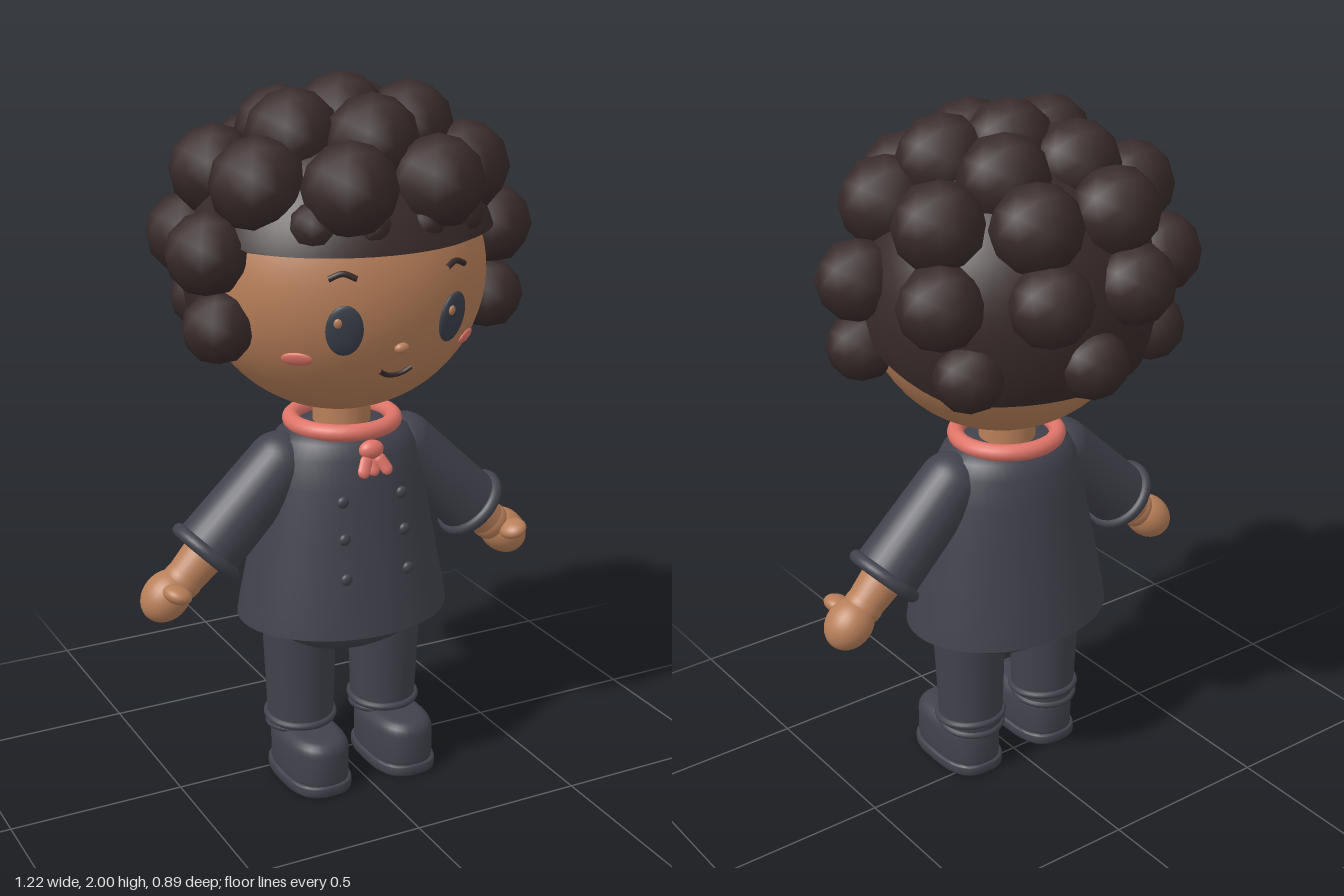
import * as THREE from 'three';
import { toCreasedNormals } from 'three/addons/utils/BufferGeometryUtils.js';

const flat = (name, color) => {
  const m = new THREE.MeshStandardMaterial({ color });
  m.name = name;
  return m;
};
const cloth = flat('charcoal cloth', 0x41424c);
const hairMat = flat('dark brown hair', 0x382a2a);
const skin = flat('brown skin', 0xb87f59);
const coral = flat('coral', 0xdf7468);
const eyeMat = flat('slate eye', 0x3b404b);

const V = (x, y, z) => new THREE.Vector3(x, y, z);
const HEAD = { c: V(0, 1.47, 0.03), r: V(0.4, 0.38, 0.36) };
const BODY_Z = 0.035;

export function createModel() {
  const model = new THREE.Group();
  model.name = 'curlyHairedFigure';

  const add = (name, geo, mat, pos = V(0, 0, 0), parent = model) => {
    const m = new THREE.Mesh(geo, mat);
    m.name = name;
    m.position.copy(pos);
    parent.add(m);
    return m;
  };
  const ball = (name, mat, pos, r, parent) => {
    const m = add(name, new THREE.SphereGeometry(1, 28, 18), mat, pos, parent);
    m.scale.copy(r);
    return m;
  };
  // cylinder or ring between / along a direction
  const limb = (name, mat, a, b, ra, rb, parent) => {
    const d = b.clone().sub(a);
    const m = add(name, new THREE.CylinderGeometry(rb, ra, d.length(), 28), mat, a.clone().lerp(b, 0.5), parent);
    m.quaternion.setFromUnitVectors(V(0, 1, 0), d.normalize());
    return m;
  };
  const ring = (name, mat, pos, axis, R, tube, parent) => {
    const m = add(name, new THREE.TorusGeometry(R, tube, 12, 36), mat, pos, parent);
    m.quaternion.setFromUnitVectors(V(0, 0, 1), axis.clone().normalize());
    return m;
  };

  // Head and neck
  const head = add('head', new THREE.SphereGeometry(1, 48, 32), skin, HEAD.c);
  head.scale.copy(HEAD.r);
  limb('neck', skin, V(0, 1.0, 0.03), V(0, 1.15, 0.03), 0.08, 0.08);

  // Point on the front of the head
  const onFace = (x, y, lift = 0) => {
    const ny = (y - HEAD.c.y) / HEAD.r.y, nx = x / HEAD.r.x;
    return V(x, y, HEAD.c.z + HEAD.r.z * Math.sqrt(Math.max(0, 1 - nx * nx - ny * ny)) + lift);
  };
  // Flattened spot lying on the face
  const faceSpot = (name, mat, x, y, rx, ry, depth, lift = 0) => {
    const p = onFace(x, y);
    const n = p.clone().sub(HEAD.c).divide(HEAD.r).divide(HEAD.r).normalize();
    const m = ball(name, mat, p.clone().addScaledVector(n, lift), V(rx, ry, depth));
    m.lookAt(m.position.clone().add(n));
    return m;
  };
  const faceLine = (name, pts, r) => add(name, new THREE.TubeGeometry(
    new THREE.CatmullRomCurve3(pts.map(([x, y]) => onFace(x, y, 0.003))), 16, r, 8), hairMat);

  for (const s of [1, -1]) {
    faceSpot('eye', eyeMat, s * 0.157, 1.395, 0.049, 0.07, 0.014);
    faceSpot('eyeGlint', skin, s * 0.157 - 0.018, 1.42, 0.011, 0.013, 0.006, 0.013);
    faceSpot('cheek', coral, s * 0.25, 1.31, 0.042, 0.021, 0.009);
    faceLine('eyebrow', [[s * 0.13, 1.53], [s * 0.163, 1.543], [s * 0.197, 1.53]], 0.008);
  }
  faceSpot('nose', skin, 0, 1.335, 0.021, 0.015, 0.014, 0.004);
  faceLine('mouth', [[-0.047, 1.27], [-0.025, 1.256], [0, 1.251], [0.025, 1.256], [0.047, 1.27]], 0.007);

  // Scalp: shell of hair that ends at a sloping hairline
  const hair = new THREE.Group();
  hair.name = 'hair';
  model.add(hair);
  const hairline = (z) => z > 0.12 ? 1.59 : z > 0.02 ? 1.39 + (z - 0.02) * 2 : Math.max(1.28, 1.39 + (z - 0.02) * 0.6);
  const capR = HEAD.r.clone().addScalar(0.035);
  const capPoint = (phi, th, r) => V(-Math.cos(phi) * Math.sin(th), Math.cos(th), Math.sin(phi) * Math.sin(th))
    .multiply(r).add(HEAD.c);
  const cap = new THREE.SphereGeometry(1, 64, 20, 0, Math.PI * 2, 0, Math.PI / 2);
  const { position, normal, uv } = cap.attributes;
  for (let i = 0; i < position.count; i++) {
    const phi = uv.getX(i) * Math.PI * 2, t = 1 - uv.getY(i);
    let end = 0.3;
    for (let p = capPoint(phi, end, capR); p.y > hairline(p.z) && end < 3; p = capPoint(phi, end, capR)) end += 0.005;
    const p = capPoint(phi, Math.min(1, t * 1.04) * end, t > 0.99 ? HEAD.r.clone().multiplyScalar(0.985) : capR);
    const n = p.clone().sub(HEAD.c).divide(capR).divide(capR).normalize();
    position.setXYZ(i, p.x, p.y, p.z);
    normal.setXYZ(i, n.x, n.y, n.z);
  }
  add('scalp', cap, hairMat, V(0, 0, 0), hair);

  // Curls: x, y, z, radius, mirrored when x is not zero
  const curls = [
    [0, 1.875, 0.02, 0.125], [0, 1.84, 0.2, 0.125], [0, 1.38, -0.34, 0.097],
    [0.17, 1.85, 0.08, 0.125], [0.115, 1.835, -0.115, 0.122], [0.125, 1.745, 0.32, 0.125],
    [0.3, 1.745, 0.15, 0.127], [0.31, 1.745, -0.105, 0.122], [0.125, 1.745, -0.265, 0.122],
    [0.422, 1.57, 0.105, 0.112], [0.36, 1.565, -0.18, 0.114], [0.135, 1.567, -0.338, 0.112],
    [0.405, 1.378, 0.125, 0.097], [0.3, 1.375, -0.215, 0.096],
    [0.075, 1.65, 0.335, 0.06], [0.21, 1.655, 0.29, 0.065],
  ];
  const curlGeo = new THREE.IcosahedronGeometry(1, 1);
  for (const [x, y, z, r] of curls) {
    for (const s of x ? [1, -1] : [1]) add('curl', curlGeo, hairMat, V(s * x, y, z), hair).scale.setScalar(r);
  }

  // Tunic
  const profile = [[0, 0.5], [0.29, 0.5], [0.31, 0.49], [0.302, 0.54], [0.278, 0.66], [0.255, 0.78],
    [0.232, 0.9], [0.212, 0.98], [0.19, 1.02], [0.15, 1.04], [0, 1.05]];
  const tunicGeo = toCreasedNormals(new THREE.LatheGeometry(profile.map(([r, y]) => new THREE.Vector2(r, y)), 48), 0.8);
  add('tunic', tunicGeo, cloth, V(0, 0, BODY_Z)).scale.z = 0.81;
  for (const s of [1, -1]) {
    for (const [x, y, r] of [[0.09, 0.873, 0.241], [0.092, 0.77, 0.259], [0.095, 0.66, 0.28]]) {
      ball('button', cloth, V(s * x, y, BODY_Z + 0.81 * Math.sqrt(r * r - x * x)), V(0.017, 0.017, 0.011));
    }
  }

  // Neckerchief
  ring('neckerchief', coral, V(0, 1.05, 0.033), V(0, 1, 0), 0.143, 0.024);
  ball('neckerchiefKnot', coral, V(0, 1.008, 0.207), V(0.036, 0.027, 0.024));
  for (const s of [1, -1, 0]) {
    const tail = add('neckerchiefTail', new THREE.CapsuleGeometry(0.018, 0.03, 6, 12), coral,
      V(s * 0.028, 0.968, s ? 0.225 : 0.215));
    tail.rotation.set(-0.45, 0, s * 0.45);
    tail.scale.z = 0.6;
  }

  // Hips
  ball('hips', cloth, V(0, 0.5, BODY_Z), V(0.25, 0.122, 0.2));

  // Rounded plan outline extruded upward for the shoes
  const slab = (hw, hl, height, bevel) => {
    const pts = [];
    for (let i = 0; i < 36; i++) {
      const a = (i / 36) * Math.PI * 2, c = Math.cos(a), s = Math.sin(a);
      pts.push(new THREE.Vector2(Math.sign(c) * Math.abs(c) ** 0.7 * (hw - bevel), Math.sign(s) * Math.abs(s) ** 0.7 * (hl - bevel)));
    }
    const g = new THREE.ExtrudeGeometry(new THREE.Shape(pts), {
      depth: height - 2 * bevel, bevelThickness: bevel, bevelSize: bevel, bevelSegments: 5, curveSegments: 1 });
    g.translate(0, 0, bevel).rotateX(-Math.PI / 2);
    return toCreasedNormals(g, 0.7);
  };
  const upperGeo = slab(0.089, 0.147, 0.155, 0.038), soleGeo = slab(0.096, 0.152, 0.034, 0.008);

  for (const s of [1, -1]) {
    const side = s > 0 ? 'left' : 'right';

    // Leg, trouser cuff and shoe
    const leg = new THREE.Group();
    leg.name = side + 'Leg';
    model.add(leg);
    limb('trouserLeg', cloth, V(s * 0.134, 0.15, 0.033), V(s * 0.137, 0.5, 0.033), 0.094, 0.107, leg);
    ring('trouserCuff', cloth, V(s * 0.135, 0.176, 0.033), V(0, 1, 0.06), 0.095, 0.011, leg);
    ring('trouserCuff', cloth, V(s * 0.135, 0.152, 0.03), V(0, 1, -0.1), 0.089, 0.011, leg);
    add('shoe', upperGeo, cloth, V(s * 0.136, 0.005, 0.095), leg);
    add('sole', soleGeo, cloth, V(s * 0.136, 0, 0.095), leg);

    // Sleeve, forearm and hand
    const arm = new THREE.Group();
    arm.name = side + 'Arm';
    model.add(arm);
    const shoulder = V(s * 0.195, 0.945, 0.033), cuff = V(s * 0.418, 0.725, 0.035);
    const dir = cuff.clone().sub(shoulder).normalize();
    const along = (d) => cuff.clone().addScaledVector(dir, d);
    ball('shoulder', cloth, shoulder, V(0.09, 0.09, 0.09), arm);
    limb('sleeve', cloth, shoulder, cuff, 0.09, 0.097, arm);
    ring('sleeveCuff', cloth, cuff, dir, 0.094, 0.019, arm);
    limb('forearm', skin, cuff, along(0.11), 0.062, 0.052, arm);
    ball('wrist', skin, along(0.1), V(0.056, 0.056, 0.056), arm);
    const hand = ball('hand', skin, V(s * 0.537, 0.617, 0.033), V(0.064, 0.078, 0.068), arm);
    hand.rotation.z = s * 0.8;
    const thumb = ball('thumb', skin, V(s * 0.53, 0.645, 0.1), V(0.04, 0.025, 0.045), arm);
    thumb.rotation.z = s * 0.35;
  }
  return model;
}
